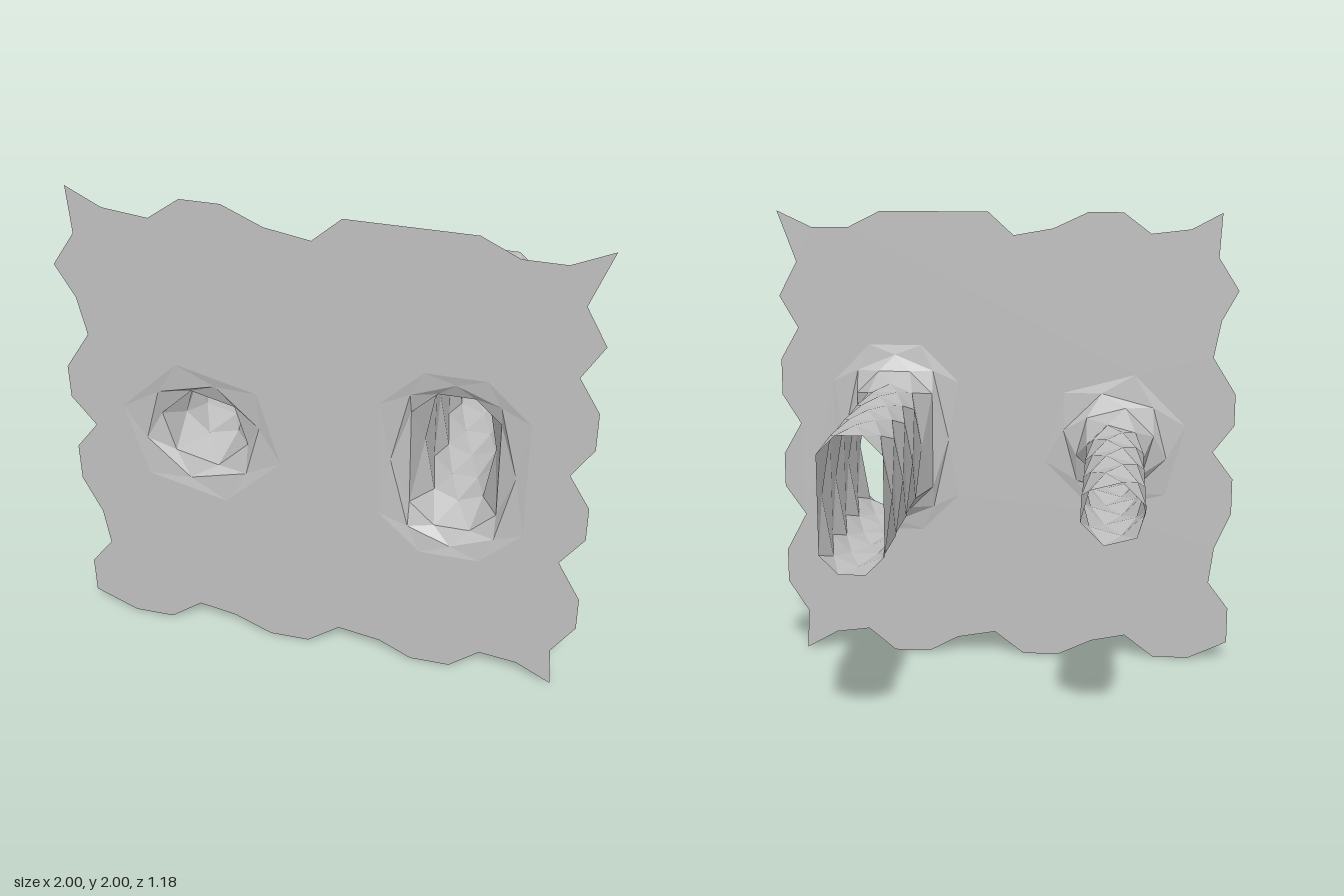
import * as THREE from 'three';

const FRONT = 0.59, BACK = -0.59;

// Ragged outline of the wall, clockwise from the top left corner (x, y)
const OUTLINE = [
  [-0.92, 2], [-0.79, 1.93], [-0.62, 1.91], [-0.5, 2], [-0.35, 2], [-0.2, 1.93], [-0.03, 1.9],
  [0.08, 2], [0.55, 2], [0.69, 1.93], [0.85, 1.93], [1, 2],
  [0.92, 1.78], [1, 1.63], [0.92, 1.49], [1, 1.35], [1, 1.19], [0.92, 1.06], [1, 0.92], [1, 0.77],
  [0.91, 0.64], [1, 0.47], [1, 0.32], [0.91, 0.18], [0.92, 0],
  [0.78, 0.08], [0.63, 0.1], [0.51, 0], [0.35, 0], [0.22, 0.07], [0.05, 0.1], [-0.08, 0],
  [-0.24, 0], [-0.39, 0.07], [-0.54, 0.1], [-0.67, 0], [-0.83, 0],
  [-1, 0.08], [-1, 0.24], [-0.91, 0.36], [-0.93, 0.52], [-1, 0.68], [-1, 0.84], [-0.91, 0.96],
  [-1, 1.08], [-1, 1.22], [-0.9, 1.38], [-0.93, 1.54], [-1, 1.67], [-0.91, 1.81],
];

// stretch pulls the upper and lower halves apart to make an oval
const TUNNELS = [
  { name: 'roundTunnel', x: -0.48, y: 0.99, sides: 6, phase: -15, stretch: 0, radii: [0.32, 0.235, 0.175, 0.125] },
  { name: 'ovalTunnel', x: 0.49, y: 1, sides: 8, phase: 22.5, stretch: 0.142, radii: [0.3, 0.235, 0.18, 0.135] },
];

// Flared mouth followed by evenly spaced tube rings: [z, radius]
function ringSteps(radii) {
  const steps = [[FRONT, radii[0]], [0.58, radii[1]], [0.55, radii[2]]];
  const tubeStart = 0.42, count = 7;
  for (let i = 0; i <= count; i++) {
    steps.push([tubeStart + (BACK - tubeStart) * i / count, radii[3]]);
  }
  return steps;
}

// One ring of corners; odd rings are turned by half a side
function ring(t, k, z, r) {
  const points = [];
  for (let i = 0; i < t.sides; i++) {
    const a = THREE.MathUtils.degToRad(t.phase) + (i + (k % 2) / 2) * Math.PI * 2 / t.sides;
    const s = Math.sin(a);
    const shift = Math.abs(s) < 1e-6 ? 0 : Math.sign(s) * t.stretch;
    points.push(new THREE.Vector3(t.x + r * Math.cos(a), t.y + r * s + shift, z));
  }
  return points;
}

// Triangular facets between the alternating rings
function tunnelGeometry(t) {
  const rings = ringSteps(t.radii).map(([z, r], k) => ring(t, k, z, r));
  const points = [];
  for (let k = 0; k + 1 < rings.length; k++) {
    const a = rings[k], b = rings[k + 1];
    for (let i = 0; i < t.sides; i++) {
      const j = (i + 1) % t.sides;
      if (k % 2 === 0) points.push(a[i], b[i], a[j], b[i], b[j], a[j]);
      else points.push(a[i], b[i], b[j], a[i], b[j], a[j]);
    }
  }
  const geometry = new THREE.BufferGeometry().setFromPoints(points);
  geometry.computeVertexNormals();
  return geometry;
}

export function createModel() {
  const model = new THREE.Group();
  model.name = 'wallWithTunnels';
  const grey = new THREE.MeshStandardMaterial({ color: 0xbfbfbf, side: THREE.DoubleSide, flatShading: true });
  grey.name = 'grey';

  // Flat wall with an opening for each flared mouth
  const shape = new THREE.Shape(OUTLINE.map(([x, y]) => new THREE.Vector2(x, y)));
  for (const t of TUNNELS) {
    const rim = ring(t, 0, FRONT, t.radii[0]).map(p => new THREE.Vector2(p.x, p.y));
    shape.holes.push(new THREE.Path(rim));
  }
  const wall = new THREE.Mesh(new THREE.ShapeGeometry(shape), grey);
  wall.name = 'wall';
  wall.position.z = FRONT;
  model.add(wall);

  // Open faceted tunnels running back from the wall
  for (const t of TUNNELS) {
    const tunnel = new THREE.Mesh(tunnelGeometry(t), grey);
    tunnel.name = t.name;
    model.add(tunnel);
  }
  return model;
}
